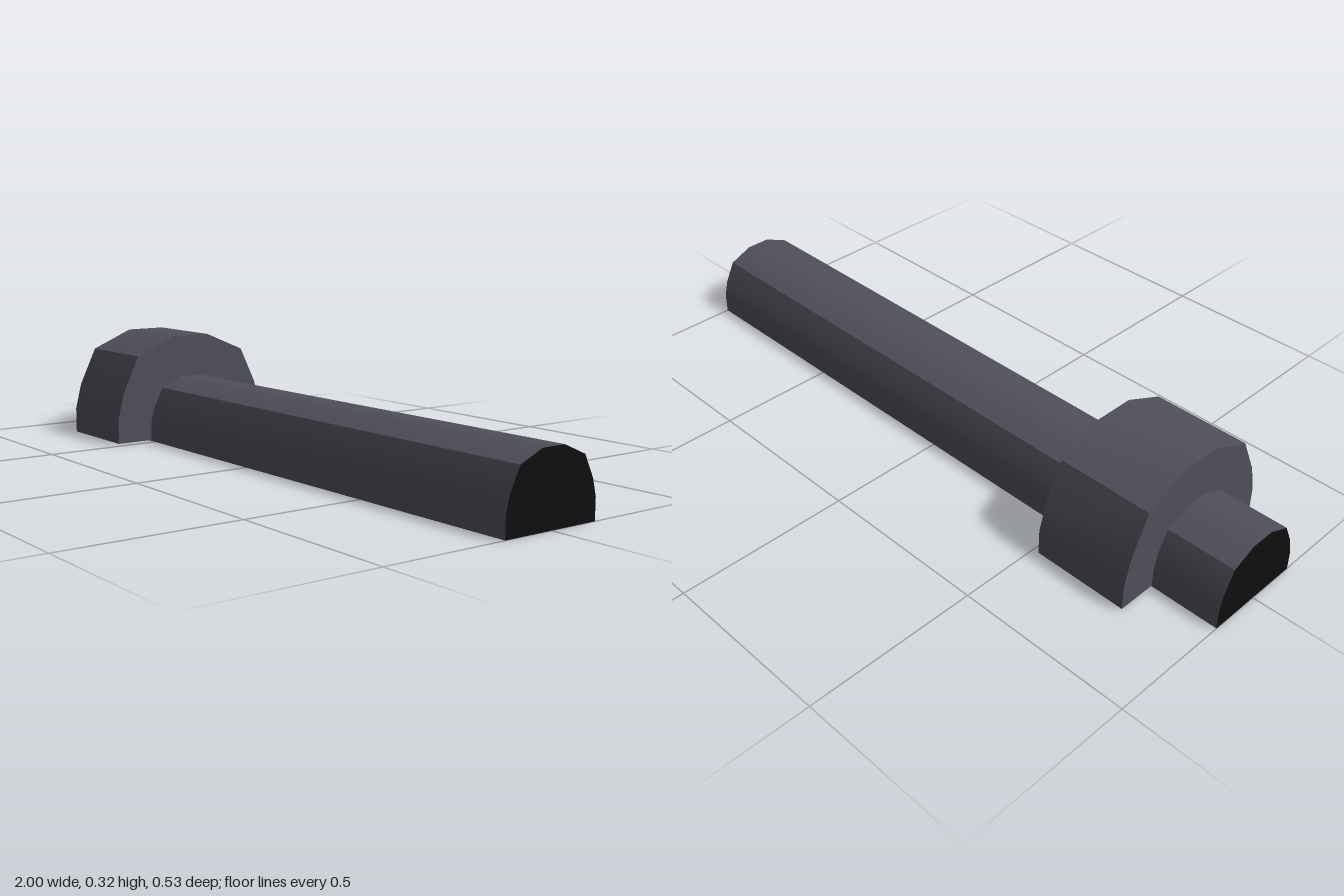
import * as THREE from 'three';
import { toCreasedNormals } from 'three/addons/utils/BufferGeometryUtils.js';

// Half of an arched cross-section, from the flat base up to the crown: [z, y]
const ROD = [[0.148, 0], [0.148, 0.059], [0.136, 0.105], [0.106, 0.165], [0.036, 0.195]];
const COLLAR = [[0.264, 0.003], [0.264, 0.079], [0.244, 0.158], [0.191, 0.269], [0.062, 0.324]];

// Mirrors the half profile and extrudes it along x
function archedBar(half, x0, x1) {
  const mirrored = half.map(([z, y]) => [-z, y]).reverse();
  const shape = new THREE.Shape([...half, ...mirrored].map(([z, y]) => new THREE.Vector2(z, y)));
  const geometry = new THREE.ExtrudeGeometry(shape, { depth: x1 - x0, bevelEnabled: false });
  geometry.rotateY(Math.PI / 2).translate(x0, 0, 0);
  return toCreasedNormals(geometry, THREE.MathUtils.degToRad(32));
}

export function createModel() {
  const group = new THREE.Group();
  group.name = 'collaredRod';

  const greyMetal = new THREE.MeshStandardMaterial({ color: 0x50505c });
  greyMetal.name = 'grey metal';
  const blackEnd = new THREE.MeshStandardMaterial({ color: 0x0f0f0f });
  blackEnd.name = 'black end';

  // Long rod with black end faces
  const rod = new THREE.Mesh(archedBar(ROD, -1, 1), [blackEnd, greyMetal]);
  rod.name = 'rod';

  // Thicker collar near the right end
  const collar = new THREE.Mesh(archedBar(COLLAR, -0.8, -0.52), greyMetal);
  collar.name = 'collar';

  group.add(rod, collar);
  return group;
}
